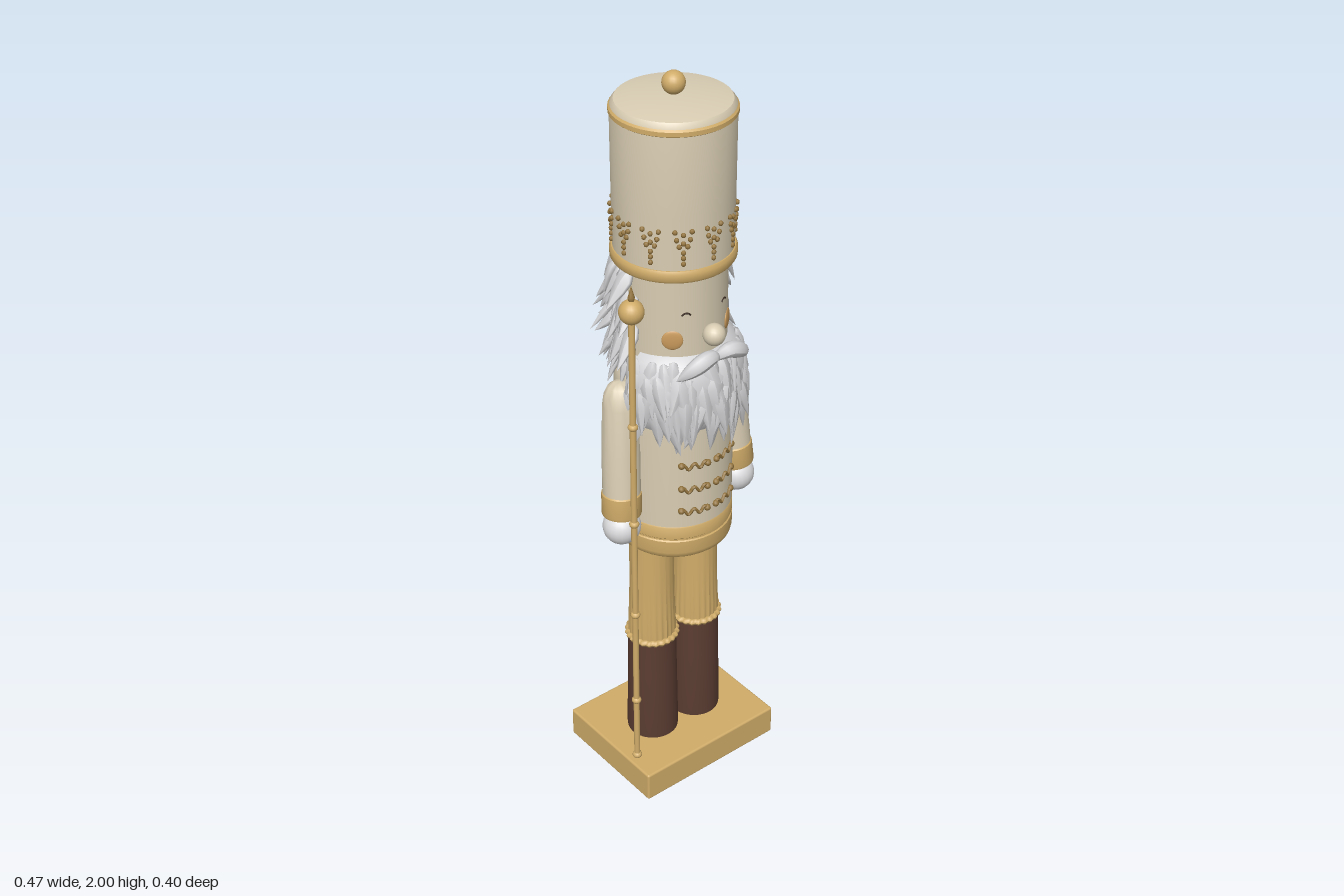
import * as THREE from 'three';
import { mergeGeometries, toCreasedNormals } from 'three/addons/utils/BufferGeometryUtils.js';
import { RoundedBoxGeometry } from 'three/addons/geometries/RoundedBoxGeometry.js';

const mat = (name, color) => {
  const m = new THREE.MeshStandardMaterial({ color });
  m.name = name;
  return m;
};

export function createModel() {
  const cream = mat('cream', 0xd9cdb3), gold = mat('gold', 0xd0ac69), brown = mat('boot brown', 0x5b3d32);
  const white = mat('hair white', 0xd2d2d4), glove = mat('glove white', 0xdedee0);
  const bronze = mat('antique gold', 0x94753f), blush = mat('blush', 0xc99a5c), dark = mat('eye dark', 0x3c2c22);
  const model = new THREE.Group();
  const Z = -0.006; // axis of body, head and hat

  let seed = 7;
  const rnd = (a, b) => {
    seed = (seed * 16807) % 2147483647;
    return a + (b - a) * seed / 2147483647;
  };
  const add = (name, geo, m, x = 0, y = 0, z = 0, parent = model) => {
    const mesh = new THREE.Mesh(geo, m);
    mesh.name = name;
    mesh.position.set(x, y, z);
    parent.add(mesh);
    return mesh;
  };
  // Turned profile, listed from bottom to top as [radius, height]
  const lathe = (pts, segs = 40) => toCreasedNormals(
    new THREE.LatheGeometry(pts.map(p => new THREE.Vector2(...p)), segs), 0.7);
  const ball = (r, w = 20, h = 14) => new THREE.SphereGeometry(r, w, h);
  // Tube whose radius follows a rule along its length
  const taperTube = (pts, radius, n = 14, sides = 10) => {
    const curve = new THREE.CatmullRomCurve3(pts.map(p => new THREE.Vector3(...p)));
    const geo = new THREE.TubeGeometry(curve, n, 1, sides);
    const pos = geo.attributes.position, v = new THREE.Vector3();
    for (let i = 0; i < pos.count; i++) {
      const t = Math.floor(i / (sides + 1)) / n, c = curve.getPointAt(t);
      v.fromBufferAttribute(pos, i).sub(c).multiplyScalar(radius(t)).add(c);
      pos.setXYZ(i, v.x, v.y, v.z);
    }
    geo.computeVertexNormals();
    return geo;
  };

  // Plinth
  add('base', new RoundedBoxGeometry(0.44, 0.086, 0.345, 2, 0.006), gold, 0, 0.043, -0.012);

  // Legs: boot, scalloped boot trim, gathered trousers
  for (const s of [-1, 1]) {
    const leg = new THREE.Group();
    leg.name = s > 0 ? 'leftLeg' : 'rightLeg';
    leg.position.set(s * 0.073, 0, Z);
    model.add(leg);
    add('boot', lathe([[0, 0.085], [0.069, 0.085], [0.07, 0.1], [0.066, 0.3], [0.065, 0.41], [0, 0.41]]), brown, 0, 0, 0, leg);
    const trousers = new THREE.LatheGeometry([[0.062, 0.41], [0.062, 0.46], [0.06, 0.52], [0.059, 0.6], [0.058, 0.74]]
      .map(p => new THREE.Vector2(...p)), 96);
    const trim = new THREE.TorusGeometry(0.063, 0.009, 8, 96).rotateX(Math.PI / 2);
    for (const [geo, amount] of [[trousers, y => 0.03 * Math.max(0, (0.62 - y) / 0.2)], [trim, () => 0.03]]) {
      const p = geo.attributes.position;
      for (let i = 0; i < p.count; i++) {
        const k = 1 + amount(p.getY(i)) * Math.cos(24 * Math.atan2(p.getX(i), p.getZ(i)));
        p.setXYZ(i, p.getX(i) * k, p.getY(i), p.getZ(i) * k);
      }
      geo.computeVertexNormals();
    }
    add('trousers', trousers, gold, 0, 0, 0, leg);
    add('bootTrim', trim, gold, 0, 0.415, 0, leg);
  }

  // Coat
  add('coat', lathe([[0.15, 0.82], [0.15, 1.1], [0.148, 1.2], [0.144, 1.23], [0.132, 1.246], [0, 1.25]]), cream, 0, 0, Z);
  add('coatHem', lathe([[0, 0.728], [0.138, 0.728], [0.149, 0.738], [0.152, 0.75], [0.152, 0.785], [0.149, 0.788],
    [0.149, 0.793], [0.152, 0.796], [0.152, 0.828], [0.149, 0.832]]), gold, 0, 0, Z);

  // Braided cords across the chest
  const cords = [];
  for (const y of [1.015, 0.945, 0.878]) {
    for (const s of [-1, 1]) {
      const pts = [];
      for (let i = 0; i <= 12; i++) {
        const a = s * (0.09 + 0.46 * i / 12);
        pts.push([0.153 * Math.sin(a), y + 0.008 * Math.sin(i * 1.25), 0.153 * Math.cos(a)]);
      }
      cords.push(taperTube(pts, () => 0.0042, 36, 6));
      for (const end of [pts[0], pts[12]]) cords.push(ball(0.009, 8, 6).translate(...end));
    }
  }
  add('chestCords', mergeGeometries(cords), bronze, 0, 0, Z);

  // Arms, built upwards from the hand and leaned back to the shoulder
  for (const s of [-1, 1]) {
    const arm = new THREE.Group();
    arm.name = s > 0 ? 'leftArm' : 'rightArm';
    arm.position.set(s * 0.188, 0.83, 0.02);
    arm.quaternion.setFromUnitVectors(new THREE.Vector3(0, 1, 0),
      new THREE.Vector3(s * -0.026, 0.36, -0.03).normalize());
    model.add(arm);
    add('hand', ball(0.049), glove, 0, 0, 0, arm);
    add('cuff', lathe([[0, 0.036], [0.049, 0.036], [0.051, 0.042], [0.051, 0.096], [0.047, 0.1]], 28), gold, 0, 0, 0, arm);
    add('sleeve', lathe([[0.048, 0.095], [0.049, 0.2], [0.046, 0.34], [0.042, 0.37], [0.032, 0.392], [0.017, 0.403], [0, 0.406]], 28),
      cream, 0, 0, 0, arm);
  }

  // Lever on the back
  add('backLever', new RoundedBoxGeometry(0.042, 0.24, 0.034, 3, 0.014), cream, 0, 1.12, -0.169);

  // Head and face
  add('head', lathe([[0.132, 1.24], [0.132, 1.55]]), cream, 0, 0, Z);
  add('nose', ball(0.028), cream, 0, 1.38, 0.148);
  for (const s of [-1, 1]) {
    const turn = s * 0.7;
    const cheek = add('cheek', ball(0.026).scale(1, 1, 0.2), blush, 0.131 * Math.sin(turn), 1.37, Z + 0.131 * Math.cos(turn));
    cheek.rotation.y = turn;
    const eye = add('eyeLine', new THREE.TorusGeometry(0.013, 0.0022, 5, 12, 2).rotateZ(0.57), dark,
      0.132 * Math.sin(s * 0.45), 1.43, Z + 0.132 * Math.cos(0.45));
    eye.rotation.y = s * 0.45;
    add('moustache', taperTube([[0, 1.322, 0.158], [s * 0.03, 1.335, 0.168], [s * 0.07, 1.318, 0.162], [s * 0.108, 1.286, 0.14]],
      t => 0.021 * Math.pow(Math.sin(Math.PI * (0.12 + 0.88 * t)), 0.8) + 0.0005), white);
  }

  // A lock hangs from a ring around the head, with its tip flaring outwards
  const lock = (phi, y, ring, length, width, flare, curl) => {
    const geo = new THREE.LatheGeometry([[0, -1], [0.4, -0.8], [0.85, -0.5], [1, -0.25], [0.6, -0.05], [0, 0]]
      .map(p => new THREE.Vector2(...p)), 6);
    const p = geo.attributes.position;
    for (let i = 0; i < p.count; i++) {
      const t = -p.getY(i);
      p.setXYZ(i, p.getX(i) * width + curl * 0.4 * t * t, -t * length, p.getZ(i) * width * 0.5 + curl * t * t);
    }
    geo.rotateX(-flare).rotateZ(rnd(-0.3, 0.3)).translate(0, y, ring).rotateY(phi);
    geo.computeVertexNormals();
    return geo;
  };

  // Hair around the sides and back
  const hair = [];
  [1.53, 1.485, 1.44, 1.39, 1.345, 1.31].forEach((y, row) => {
    for (let i = 0; i < 17; i++) {
      const phi = 1.42 + (Math.PI * 2 - 2.84) * (i + (row % 2) * 0.5) / 16.5;
      hair.push(lock(phi, y + rnd(-0.012, 0.012), 0.134, rnd(0.075, 0.12), rnd(0.016, 0.025), rnd(0.25, 0.65), rnd(-0.025, 0.015)));
    }
  });
  add('hair', mergeGeometries(hair), white, 0, 0, Z);

  // Beard: a full core with long locks hanging over it
  const core = new THREE.LatheGeometry([[0.145, 1.12], [0.17, 1.16], [0.175, 1.22], [0.168, 1.27], [0.15, 1.31], [0.125, 1.325]]
    .map(p => new THREE.Vector2(...p)), 30, -1.4, 2.8);
  const beard = [core];
  [1.315, 1.28, 1.24, 1.195].forEach((y, row) => {
    for (let i = 0; i < 17; i++) {
      const phi = -1.4 + 2.8 * (i + (row % 2) * 0.5) / 16.5, mid = Math.cos(phi);
      beard.push(lock(phi, y + rnd(-0.01, 0.01), [0.146, 0.16, 0.168, 0.166][row],
        rnd(0.095, 0.12) + 0.03 * mid, rnd(0.017, 0.025), [0.28, 0.18, 0.1, 0.02][row] + rnd(-0.05, 0.05), rnd(-0.02, 0.004)));
    }
  });
  add('beard', mergeGeometries(beard), white, 0, 0, 0.004);

  // Hat with bands and knob
  add('hat', lathe([[0, 1.545], [0.146, 1.545], [0.147, 1.7], [0.148, 1.91], [0.146, 1.926], [0.138, 1.936], [0.1, 1.943], [0, 1.948]], 48),
    cream, 0, 0, Z);
  add('hatBrim', lathe([[0.13, 1.535], [0.149, 1.535], [0.153, 1.541], [0.153, 1.559], [0.149, 1.566], [0.145, 1.566]], 48), gold, 0, 0, Z);
  add('hatTopBand', lathe([[0.147, 1.904], [0.151, 1.907], [0.151, 1.918], [0.146, 1.923]], 48), gold, 0, 0, Z);
  add('hatKnob', ball(0.028), gold, 0, 1.972, Z);

  // Beaded ornaments around the hat
  const beads = [];
  const cluster = [[-0.02, 1.668], [0.02, 1.668], [0, 1.66], [-0.016, 1.648], [0.016, 1.648], [-0.01, 1.63], [0.01, 1.63],
    [0, 1.638], [0, 1.614], [0, 1.6], [0, 1.585]];
  for (let i = 0; i < 12; i++) {
    for (const [x, y] of cluster) beads.push(ball(0.0065, 7, 5).translate(x, y, 0.148).rotateY(i * Math.PI / 6));
  }
  add('hatBeads', mergeGeometries(beads), bronze, 0, 0, Z);

  // Staff in the right hand
  const staff = new THREE.Group();
  staff.name = 'staff';
  staff.position.set(-0.194, 0, 0.079);
  model.add(staff);
  add('staffRod', new THREE.CylinderGeometry(0.008, 0.008, 1.37, 14), gold, 0, 0.77, 0, staff);
  for (const y of [0.095, 0.29, 0.58, 0.87, 1.16]) {
    add('staffRing', ball(0.013, 14, 8).scale(1, 0.8, 1), gold, 0, y, 0, staff);
  }
  add('staffBall', ball(0.031), gold, 0, 1.482, 0, staff);
  add('staffTip', lathe([[0.006, 1.508], [0.009, 1.52], [0.006, 1.53], [0, 1.552]], 12), bronze, 0, 0, 0, staff);

  return model;
}
